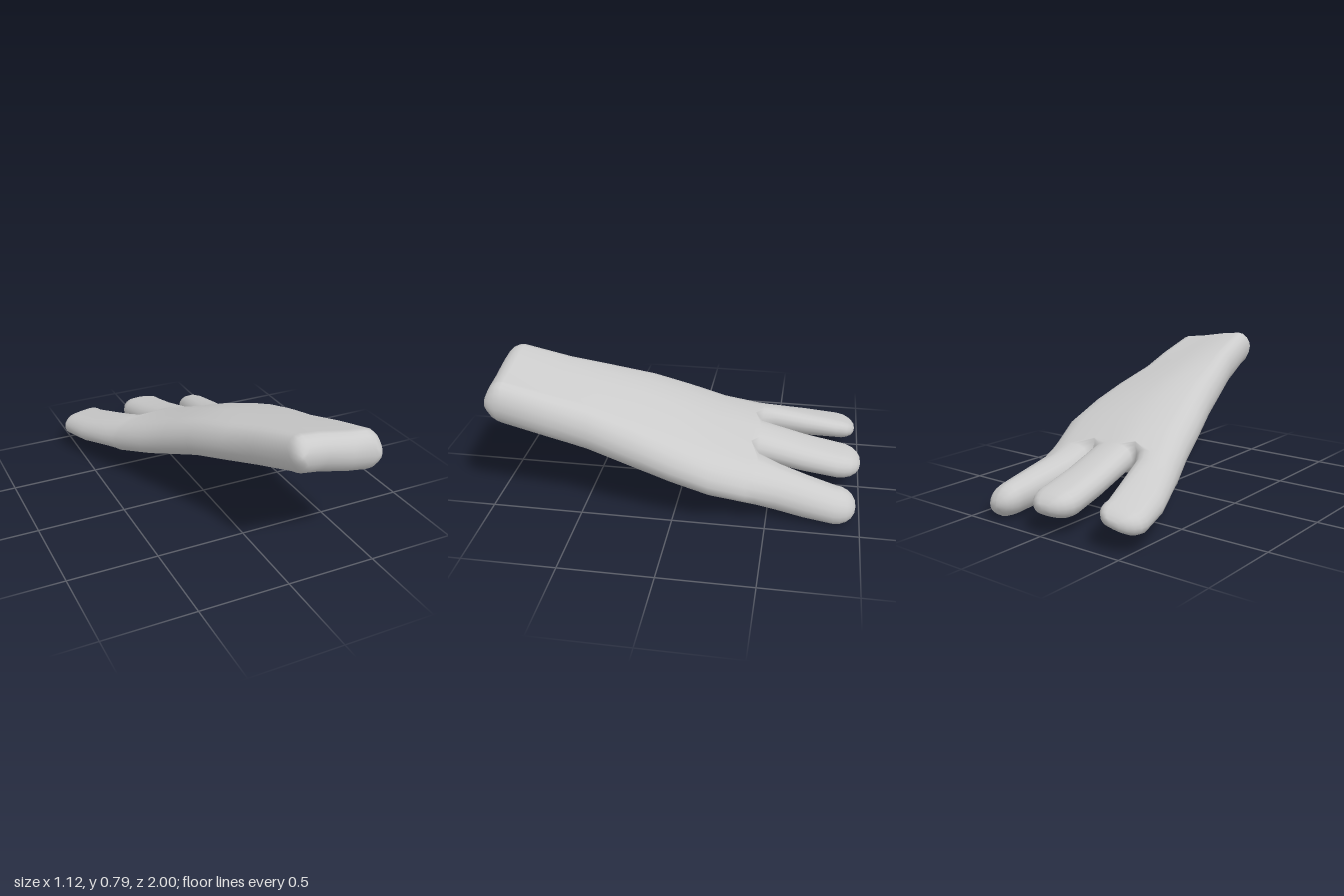
import * as THREE from 'three';
import { mergeVertices } from 'three/addons/utils/BufferGeometryUtils.js';

const SIDE = 8; // segments round each edge
const SPLIT = [0, 0.32, 0.645, 1]; // where the three finger strips divide the palm
const lerp = THREE.MathUtils.lerp;

// Palm stations: z, left edge x, right edge x, four centre heights across, four half thicknesses
const PALM = [
  [0.9, 0.0, 0.53, [0.7, 0.68, 0.645, 0.62], [0.105, 0.108, 0.112, 0.115]],
  [0.65, -0.05, 0.522, [0.615, 0.615, 0.58, 0.548], [0.107, 0.11, 0.115, 0.118]],
  [0.45, -0.115, 0.51, [0.55, 0.57, 0.535, 0.482], [0.108, 0.11, 0.115, 0.118]],
  [0.2, -0.195, 0.54, [0.47, 0.51, 0.475, 0.405], [0.11, 0.108, 0.11, 0.118]],
  [0, -0.26, 0.558, [0.385, 0.445, 0.415, 0.34], [0.11, 0.105, 0.108, 0.115]],
  [-0.2, -0.32, 0.553, [0.3, 0.365, 0.345, 0.272], [0.108, 0.1, 0.1, 0.112]],
  [-0.39, -0.4, 0.487, [0.238, 0.303, 0.27, 0.2], [0.1, 0.084, 0.09, 0.108]],
];

// Finger stations: z, left x, right x, left and right centre heights, half thickness; then tip z and x
const FINGERS = [
  {
    rows: [[-0.43, -0.415, -0.15, 0.23, 0.298, 0.088], [-0.5, -0.445, -0.2, 0.215, 0.285, 0.08],
      [-0.68, -0.52, -0.255, 0.178, 0.238, 0.07], [-0.86, -0.565, -0.31, 0.152, 0.195, 0.057]],
    tip: [-0.97, -0.43],
  },
  {
    rows: [[-0.43, -0.122, 0.157, 0.29, 0.266, 0.082], [-0.5, -0.127, 0.147, 0.268, 0.25, 0.08],
      [-0.68, -0.14, 0.13, 0.215, 0.205, 0.076], [-0.87, -0.155, 0.115, 0.172, 0.168, 0.071]],
    tip: [-1, -0.02],
  },
  {
    rows: [[-0.44, 0.172, 0.473, 0.235, 0.185, 0.102], [-0.55, 0.19, 0.445, 0.187, 0.15, 0.104],
      [-0.7, 0.22, 0.45, 0.152, 0.117, 0.098], [-0.86, 0.245, 0.45, 0.12, 0.087, 0.088]],
    tip: [-0.975, 0.34],
  },
];

// Cross-section loop; an edge that is not free is a straight seam to the next strip
function ring({ z, l, r, yl, yr, tl, tr, freeL, freeR, crown }) {
  const pts = [];
  const add = (f, up) => pts.push([lerp(l, r, f), lerp(yl, yr, f) + lerp(tl, tr, f) * up, z]);
  const inset = (a, free, t) => (free ? Math.min((t * 1.15) / (r - l), 0.42) * (1 - Math.cos(a)) : 0);
  for (let i = 0; i <= SIDE; i++) {
    const a = -Math.PI / 2 + (Math.PI * i) / SIDE;
    add(inset(a, freeL, tl), Math.sin(a));
  }
  add(0.5, 1 + crown);
  for (let i = 0; i <= SIDE; i++) {
    const a = Math.PI / 2 - (Math.PI * i) / SIDE;
    add(1 - inset(a, freeR, tr), Math.sin(a));
  }
  add(0.5, -1 - crown);
  return { pts, freeL, freeR };
}

// Stations of one strip, from the wrist to a fingertip
function stripRings(k) {
  const rings = [];
  const palmRing = (z, x0, x3, ys, ts) => rings.push(ring({
    z, l: lerp(x0, x3, SPLIT[k]), r: lerp(x0, x3, SPLIT[k + 1]), yl: ys[k], yr: ys[k + 1],
    tl: ts[k], tr: ts[k + 1], freeL: k === 0, freeR: k === 2, crown: 0,
  }));
  // rounded wrist end
  const [z0, a0, b0, ys0, ts0] = PALM[0];
  for (const deg of [90, 72, 54, 36, 18]) {
    const p = THREE.MathUtils.degToRad(deg), c = Math.cos(p), s = Math.sin(p), inset = 0.05 * (1 - c);
    palmRing(z0 + 0.1 * s, a0 + inset, b0 - inset, ys0.map((y) => y + 0.01 * s), ts0.map((t) => t * c));
  }
  PALM.forEach((s) => palmRing(...s));

  const { rows, tip } = FINGERS[k];
  const fingerRing = (z, l, r, yl, yr, t) =>
    rings.push(ring({ z, l, r, yl, yr, tl: t, tr: t, freeL: true, freeR: true, crown: 0.05 }));
  rows.forEach((s) => fingerRing(...s));
  // rounded fingertip
  const [z, l, r, yl, yr, t] = rows[rows.length - 1];
  for (const deg of [18, 36, 54, 72, 90]) {
    const p = THREE.MathUtils.degToRad(deg), s = Math.sin(p), c = Math.cos(p);
    const w = Math.max(Math.pow(c, 0.85), 0.01);
    const mid = lerp((l + r) / 2, tip[1], s), half = ((r - l) / 2) * w;
    const y = (yl + yr) / 2 - 0.01 * s, tilt = ((yr - yl) / 2) * w;
    fingerRing(lerp(z, tip[0], s), mid - half, mid + half, y - tilt, y + tilt, t * c);
  }
  return rings;
}

export function createModel() {
  const pos = [], index = [];
  for (let k = 0; k < 3; k++) {
    const rings = stripRings(k);
    const n = rings[0].pts.length, base = pos.length / 3;
    rings.forEach((s) => s.pts.forEach((p) => pos.push(...p)));
    for (let s = 0; s < rings.length - 1; s++) {
      const next = rings[s + 1];
      for (let j = 0; j < n; j++) {
        // no inner walls where neighbouring strips are joined
        if (j < SIDE && !next.freeL) continue;
        if (j >= SIDE + 2 && j < 2 * SIDE + 2 && !next.freeR) continue;
        const a = base + s * n + j, b = base + s * n + ((j + 1) % n);
        index.push(a, b, b + n, a, b + n, a + n);
      }
    }
  }
  let geo = new THREE.BufferGeometry();
  geo.setAttribute('position', new THREE.Float32BufferAttribute(pos, 3));
  geo.setIndex(index);
  geo = mergeVertices(geo, 1e-4);
  geo.computeVertexNormals();

  const hand = new THREE.Mesh(geo, new THREE.MeshStandardMaterial({ color: 0xcccccc }));
  hand.name = 'threeFingeredHand';
  const group = new THREE.Group();
  group.name = 'hand';
  group.add(hand);
  return group;
}
